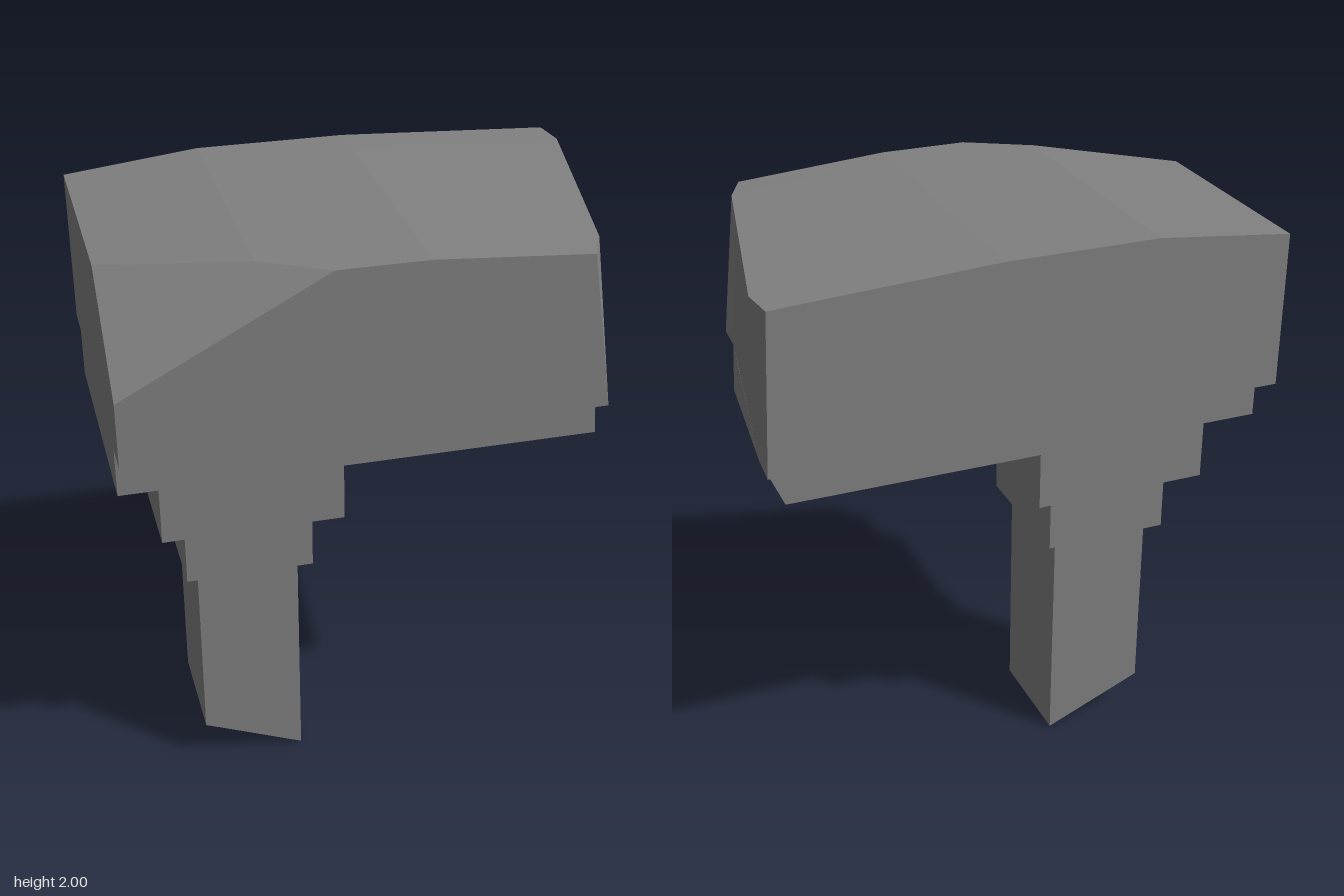
import * as THREE from 'three';
import { ConvexGeometry } from 'three/addons/geometries/ConvexGeometry.js';

// Skin through outlines (counter-clockwise seen from +z), listed from back to front
function loft(sections) {
  const pos = [];
  const tri = (...pts) => pts.forEach((p) => pos.push(...p));
  const rings = sections.map(([z, pts]) => pts.map(([x, y]) => [x, y, z]));
  const n = rings[0].length;
  for (let k = 0; k < rings.length - 1; k++) {
    const r = rings[k], f = rings[k + 1];
    for (let i = 0; i < n; i++) {
      const j = (i + 1) % n;
      tri(f[i], r[i], r[j]);
      tri(f[i], r[j], f[j]);
    }
  }
  const back = rings[0], front = rings[rings.length - 1];
  for (let i = 1; i < n - 1; i++) {
    tri(front[0], front[i], front[i + 1]);
    tri(back[0], back[i + 1], back[i]);
  }
  const g = new THREE.BufferGeometry();
  g.setAttribute('position', new THREE.Float32BufferAttribute(pos, 3));
  g.computeVertexNormals();
  return g;
}

export function createModel() {
  const model = new THREE.Group();
  model.name = 'steppedHead';
  const grey = new THREE.MeshStandardMaterial({ color: 0x808080, flatShading: true });
  grey.name = 'grey';
  const add = (name, geometry) => {
    const mesh = new THREE.Mesh(geometry, grey);
    mesh.name = name;
    model.add(mesh);
    return mesh;
  };

  // Head: shallow roof, slanted right end and one cut corner at the front
  const left = -0.845;
  const headOutline = (bottomX, topX, leftTopY, ridgeX) => [
    [left, 1.44], [bottomX, 1.44], [topX, 1.962], [0.1, 2], [ridgeX, 2], [left, leftTopY],
  ];
  add('head', loft([
    [-0.53, headOutline(0.84, 0.815, 1.95, -0.4)],
    [-0.41, headOutline(0.832, 0.83, 1.95, -0.4)],
    [0.21, headOutline(0.724, 0.7015, 1.95, -0.4)],
    [0.41, headOutline(0.69, 0.66, 1.766, -0.4)],
    [0.53, headOutline(0.685, 0.605, 1.655, -0.19)],
  ]));

  // Narrower slab under the head
  const slabOutline = (bottomX, topX) => [
    [left, 1.275], [bottomX, 1.275], [topX, 1.44], [left, 1.44],
  ];
  add('lowerSlab', loft([
    [-0.41, slabOutline(0.76, 0.832)],
    [0.41, slabOutline(0.70, 0.69)],
  ]));

  // Two stepped collars
  for (const [name, x0, x1, y0, y1, z] of [
    ['upperCollar', -0.71, -0.115, 1.03, 1.275, 0.33],
    ['lowerCollar', -0.625, -0.2, 0.8, 1.03, 0.235],
  ]) {
    add(name, new THREE.BoxGeometry(x1 - x0, y1 - y0, z * 2))
      .position.set((x0 + x1) / 2, (y0 + y1) / 2, 0);
  }

  // Post with a slanted foot that comes to a blunt point
  const corners = [[-0.44, 0.035, 0]];
  for (const z of [-0.187, 0.187]) {
    corners.push([-0.583, 0.8, z], [-0.242, 0.8, z], [-0.583, 0.145, z], [-0.242, 0, z]);
  }
  add('post', new ConvexGeometry(corners.map((c) => new THREE.Vector3(...c))));

  return model;
}
